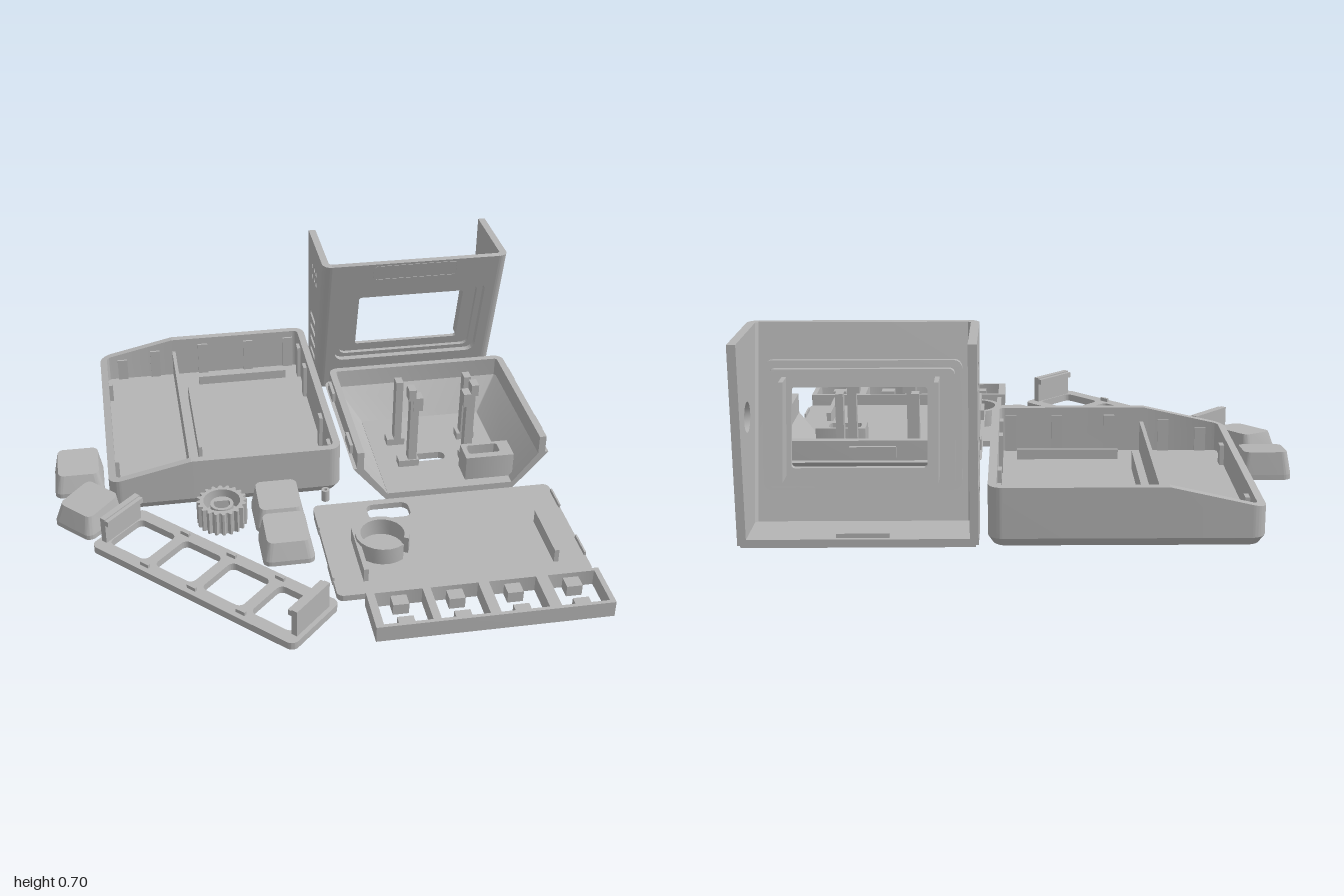
import * as THREE from 'three';
import { toCreasedNormals } from 'three/addons/utils/BufferGeometryUtils.js';

const grey = new THREE.MeshStandardMaterial({ color: 0xb4b4b4 });
grey.name = 'plastic grey';

// Rounded rectangle outline
function rect(x0, y0, x1, y1, r = 0.001, Type = THREE.Shape) {
  const s = new Type();
  s.moveTo(x0 + r, y0);
  s.lineTo(x1 - r, y0); s.absarc(x1 - r, y0 + r, r, -Math.PI / 2, 0);
  s.lineTo(x1, y1 - r); s.absarc(x1 - r, y1 - r, r, 0, Math.PI / 2);
  s.lineTo(x0 + r, y1); s.absarc(x0 + r, y1 - r, r, Math.PI / 2, Math.PI);
  s.lineTo(x0, y0 + r); s.absarc(x0 + r, y0 + r, r, Math.PI, Math.PI * 1.5);
  return s;
}
const hole = (x0, y0, x1, y1, r = 0.001) => rect(x0, y0, x1, y1, r, THREE.Path);
function withHoles(s, ...holes) { s.holes.push(...holes); return s; }
function circle(x, y, r, Type = THREE.Path) {
  const s = new Type();
  s.absarc(x, y, r, 0, Math.PI * 2);
  return s;
}

// Three walls in plan, rounded at the back and open towards +z
function uShape(x0, x1, back, front, t, r) {
  const s = new THREE.Shape(), q = Math.max(r - t, 0.004);
  s.moveTo(x0, front);
  s.lineTo(x0, back + r); s.absarc(x0 + r, back + r, r, Math.PI, Math.PI * 1.5);
  s.lineTo(x1 - r, back); s.absarc(x1 - r, back + r, r, -Math.PI / 2, 0);
  s.lineTo(x1, front); s.lineTo(x1 - t, front);
  s.lineTo(x1 - t, back + t + q); s.absarc(x1 - t - q, back + t + q, q, 0, -Math.PI / 2, true);
  s.lineTo(x0 + t + q, back + t); s.absarc(x0 + t + q, back + t + q, q, -Math.PI / 2, -Math.PI, true);
  s.lineTo(x0 + t, front);
  return s;
}

const extrude = (shape, depth) =>
  new THREE.ExtrudeGeometry(shape, { depth, bevelEnabled: false, curveSegments: 10 });
// Plan outline (x, z) raised from y0 to y1
const rise = (shape, y0, y1) => extrude(shape, y1 - y0).rotateX(Math.PI / 2).translate(0, y1, 0);
// Side outline (-z, y) given thickness from x0 to x1
const side = (shape, x0, x1) => extrude(shape, x1 - x0).rotateY(Math.PI / 2).translate(x0, 0, 0);

function bend(geo, rule) {
  const p = geo.attributes.position, v = new THREE.Vector3();
  for (let i = 0; i < p.count; i++) {
    rule(v.fromBufferAttribute(p, i));
    p.setXYZ(i, v.x, v.y, v.z);
  }
  return geo;
}
function add(parent, name, geo) {
  const m = new THREE.Mesh(toCreasedNormals(geo, 0.5), grey);
  m.name = name;
  parent.add(m);
}
function box(parent, name, x0, x1, y0, y1, z0, z1) {
  add(parent, name, new THREE.BoxGeometry(x1 - x0, y1 - y0, z1 - z0)
    .translate((x0 + x1) / 2, (y0 + y1) / 2, (z0 + z1) / 2));
}
function group(parent, name) {
  const g = new THREE.Group();
  g.name = name;
  parent.add(g);
  return g;
}

// Large open tray with a sloping low end
function tray(root) {
  const g = group(root, 'tray');
  const rim = x => 0.21 - Math.max(0, -0.45 - x) * 0.227;
  const slope = v => { if (v.y > 0.1) v.y = rim(v.x); };
  add(g, 'trayFloor', bend(rise(rect(-0.78, -0.97, 0.16, 0.05, 0.05), 0, 0.03), v => {
    if (v.y < 0.01) { v.x = -0.31 + (v.x + 0.31) * 0.965; v.z = -0.46 + (v.z + 0.46) * 0.968; }
  }));
  add(g, 'trayLowWalls', bend(rise(uShape(-0.05, 0.97, -0.78, -0.45, 0.03, 0.05), 0.03, 0.21).rotateY(Math.PI / 2), slope));
  add(g, 'trayHighWalls', rise(uShape(-0.97, 0.05, -0.16, 0.45, 0.03, 0.05), 0.03, 0.21).rotateY(-Math.PI / 2));
  box(g, 'trayPartition', -0.45, -0.435, 0.02, 0.15, -0.945, 0.025);
  box(g, 'trayRib', -0.4, -0.385, 0.02, 0.1, -0.72, -0.21);
  for (const z of [-0.835, -0.09]) box(g, 'trayCrossRib', -0.34, 0.06, 0.02, 0.07, z - 0.007, z + 0.007);
  // Snap ribs round the inside
  for (const x of [-0.68, -0.53, -0.31, -0.1, 0.085])
    for (const z of [-0.945, 0.025]) box(g, 'traySnap', x - 0.022, x + 0.022, 0.02, rim(x) - 0.03, z - 0.014, z + 0.014);
  for (const z of [-0.77, -0.16]) box(g, 'traySnap', -0.76, -0.733, 0.02, 0.11, z - 0.022, z + 0.022);
  for (const z of [-0.85, -0.67, -0.25, -0.05]) box(g, 'traySnap', 0.115, 0.14, 0.02, 0.18, z - 0.022, z + 0.022);
}

// Upright leaning screen surround, open at the back and top
function bezel(root) {
  const g = group(root, 'bezel'), k = 0.264;
  const lean = geo => bend(geo, v => { v.z += k * v.y; });
  const layer = (name, shape, z, d) => add(g, name, lean(extrude(shape, d).translate(0, 0, z)));
  layer('bezelPlate', withHoles(rect(0.23, 0, 0.96, 0.7), hole(0.27, 0.16, 0.92, 0.555, 0.04)), -0.8, 0.03);
  layer('bezelStep', withHoles(rect(0.25, 0.14, 0.94, 0.575, 0.03), hole(0.295, 0.18, 0.895, 0.53, 0.03)), -0.82, 0.02);
  layer('screenSurround', withHoles(rect(0.275, 0.155, 0.92, 0.55, 0.02), hole(0.37, 0.22, 0.84, 0.49, 0.012)), -0.84, 0.02);
  layer('badgeRim', withHoles(rect(0.41, 0.613, 0.78, 0.69, 0.02), hole(0.416, 0.619, 0.774, 0.684, 0.016)), -0.775, 0.008);
  // Rounded front corners
  for (const s of [1, -1]) {
    const c = new THREE.Shape();
    c.absarc(0, 0, 0.04, 0, Math.PI / 2);
    c.lineTo(0, 0.01); c.lineTo(0.01, 0);
    const geo = rise(c, 0, 0.7);
    if (s < 0) geo.rotateY(-Math.PI / 2);
    add(g, 'bezelCorner', lean(geo.translate(s > 0 ? 0.96 : 0.23, 0, -0.81)));
  }
  // Side walls with a round port and with louvres
  const wall = () => new THREE.Shape([[0.97, 0.008], [0.97, 0.7], [0.81 - k * 0.7, 0.7], [0.81, 0]]
    .map(p => new THREE.Vector2(...p)));
  add(g, 'bezelPortWall', side(withHoles(wall(), circle(0.84, 0.42, 0.053)), 0.97, 1));
  const vents = [];
  for (let i = 0; i < 4; i++) vents.push(hole(0.79, 0.13 + i * 0.06, 0.91, 0.155 + i * 0.06, 0.01));
  for (let i = 0; i < 6; i++) vents.push(circle(0.77 + (i % 3) * 0.045, 0.53 + Math.floor(i / 3) * 0.05, 0.013));
  add(g, 'bezelVentWall', side(withHoles(wall(), ...vents), 0.19, 0.22));
  box(g, 'bezelBottom', 0.2, 0.99, 0.001, 0.03, -0.97, -0.79);
  box(g, 'bezelCatch', 0.49, 0.67, 0.02, 0.045, -0.955, -0.935);
  for (const x of [0.335, 0.865])
    add(g, 'screenBracket', lean(new THREE.BoxGeometry(0.016, 0.33, 0.1).translate(x, 0.36, -0.87)));
}

// Tapered rear case with clip posts
function rearCase(root) {
  const g = group(root, 'rearCase');
  add(g, 'caseSlopes', bend(rise(uShape(0.19, 1, -0.55, 0.14, 0.04, 0.045), 0, 0.165), v => {
    if (v.y < 0.1) { v.x = 0.595 + (v.x - 0.595) * 0.654; v.z = 0.14 + (v.z - 0.14) * 0.8; }
  }));
  add(g, 'caseLip', rise(uShape(0.205, 0.985, -0.525, 0.14, 0.028, 0.04), 0.16, 0.24));
  add(g, 'caseFloor', rise(withHoles(rect(0.335, -0.405, 0.855, 0.14),
    hole(0.48, -0.12, 0.63, -0.065, 0.025), hole(0.69, 0.005, 0.82, 0.065, 0.012)), 0, 0.03));
  add(g, 'connectorHousing', rise(withHoles(rect(0.67, -0.01, 0.87, 0.095), hole(0.69, 0.005, 0.82, 0.065, 0.012)), 0.02, 0.135));
  for (const s of [1, -1]) {
    const m = x => 0.595 + s * x;
    const bar = (name, a, b, ...rest) => box(g, name, Math.min(m(a), m(b)), Math.max(m(a), m(b)), ...rest);
    bar('frontPost', 0.1, 0.135, 0.02, 0.36, -0.08, -0.04);
    bar('frontPostHead', 0.085, 0.125, 0.3, 0.36, -0.085, -0.035);
    bar('frontPostTip', 0.115, 0.145, 0.35, 0.4, -0.085, -0.035);
    bar('frontPostFoot', 0.09, 0.175, 0.02, 0.06, -0.085, -0.035);
    bar('backPost', 0.13, 0.16, 0.02, 0.34, -0.245, -0.2);
    bar('backPostFoot', 0.115, 0.19, 0.02, 0.06, -0.25, -0.2);
    bar('caseSideCatch', 0.385, 0.403, 0.18, 0.22, -0.45, -0.35);
    bar('caseSideCatch', 0.385, 0.403, 0.18, 0.22, -0.05, 0.05);
  }
  box(g, 'caseBackCatch', 0.5, 0.67, 0.18, 0.22, -0.54, -0.52);
}

// Flat base plate with a ring socket and ribs
function basePlate(root) {
  const g = group(root, 'basePlate');
  add(g, 'plate', rise(withHoles(rect(0.02, 0.17, 1, 0.735, 0.025), hole(0.23, 0.2, 0.4, 0.295, 0.03)), 0, 0.025));
  const ring = new THREE.Shape();
  ring.absarc(0.24, 0.475, 0.105, 0.9, Math.PI * 2 + 0.5);
  ring.absarc(0.24, 0.475, 0.085, Math.PI * 2 + 0.5, 0.9, true);
  add(g, 'ringSocket', rise(ring, 0.02, 0.095));
  for (const x of [0.14, 0.875]) box(g, 'plateRib', x - 0.009, x + 0.009, 0.02, 0.08, 0.41, 0.665);
  for (const x of [0.02, 0.997]) for (const z of [0.28, 0.59])
    box(g, 'plateCatch', x - 0.004, x + 0.003, 0.005, 0.04, z - 0.055, z + 0.055);
}

// Strip of four switch cells
function switchStrip(root) {
  const g = group(root, 'switchStrip'), cells = [0.235, 0.445, 0.665, 0.89];
  add(g, 'stripFrame', rise(withHoles(rect(0.115, 0.77, 1, 0.97),
    ...cells.map(x => hole(x - 0.09, 0.785, x + 0.09, 0.955))), 0, 0.065));
  for (const x of cells) for (const z of [0.81, 0.93])
    box(g, 'switchTab', x - 0.03, x + 0.03, 0, 0.045, z - 0.028, z + 0.028);
}

// Diagonal key frame with end clips
function keyFrame(root) {
  const g = group(root, 'keyFrame');
  g.position.set(-0.422, 0, 0.53);
  g.rotation.y = -Math.PI / 4;
  const holes = [-0.345, -0.115, 0.115, 0.345].map(u => hole(u - 0.093, -0.093, u + 0.093, 0.093, 0.025));
  add(g, 'frame', rise(withHoles(rect(-0.485, -0.145, 0.485, 0.145, 0.03), ...holes), 0, 0.03));
  for (const s of [-1, 1]) {
    box(g, 'endClip', s * 0.455 - 0.012, s * 0.455 + 0.012, 0.02, 0.14, -0.1, 0.1);
    box(g, 'endClipLip', s * 0.447 - 0.02, s * 0.447 + 0.02, 0.112, 0.135, -0.1, 0.1);
  }
  for (const u of [-0.23, 0, 0.23]) for (const w of [-0.118, 0.118])
    box(g, 'framePeg', u - 0.02, u + 0.02, 0.02, 0.045, w - 0.006, w + 0.006);
}

// Loose keycaps, knob and pin
function smallParts(root) {
  for (const [x, z, a] of [[-0.9, -0.175, 0], [-0.868, 0.09, -0.8], [-0.12, 0.18, 0], [-0.12, 0.395, 0]]) {
    const k = group(root, 'keycap');
    k.position.set(x, 0, z);
    k.rotation.y = a;
    add(k, 'keycapSkirt', rise(rect(-0.1, -0.1, 0.1, 0.1, 0.03), 0, 0.02));
    add(k, 'keycapBody', bend(rise(rect(-0.1, -0.1, 0.1, 0.1, 0.03), 0.02, 0.1), v => {
      if (v.y > 0.06) { v.x *= 0.83; v.y -= v.z * 0.09; v.z = v.z * 0.83 - 0.008; }
    }));
  }
  const knob = group(root, 'knob');
  knob.position.set(-0.345, 0, 0.175);
  const teeth = [];
  for (let i = 0; i < 80; i++) {
    const a = i / 80 * Math.PI * 2, r = i % 4 < 2 ? 0.1 : 0.087;
    teeth.push(new THREE.Vector2(r * Math.cos(a), r * Math.sin(a)));
  }
  add(knob, 'knobGrip', rise(withHoles(new THREE.Shape(teeth), circle(0, 0, 0.073)), 0, 0.1));
  add(knob, 'knobBase', new THREE.CylinderGeometry(0.078, 0.078, 0.03, 40).translate(0, 0.016, 0));
  const dHole = new THREE.Path();
  dHole.absarc(0, 0, 0.033, -0.5, Math.PI + 0.5);
  add(knob, 'knobShaft', rise(withHoles(circle(0, 0, 0.046, THREE.Shape), dHole), 0.02, 0.085));
  add(root, 'pin', rise(withHoles(circle(0.085, 0.1, 0.017, THREE.Shape), circle(0.085, 0.1, 0.007)), 0, 0.05));
}

export function createModel() {
  const root = new THREE.Group();
  root.name = 'enclosureKit';
  [tray, bezel, rearCase, basePlate, switchStrip, keyFrame, smallParts].forEach(build => build(root));
  return root;
}
